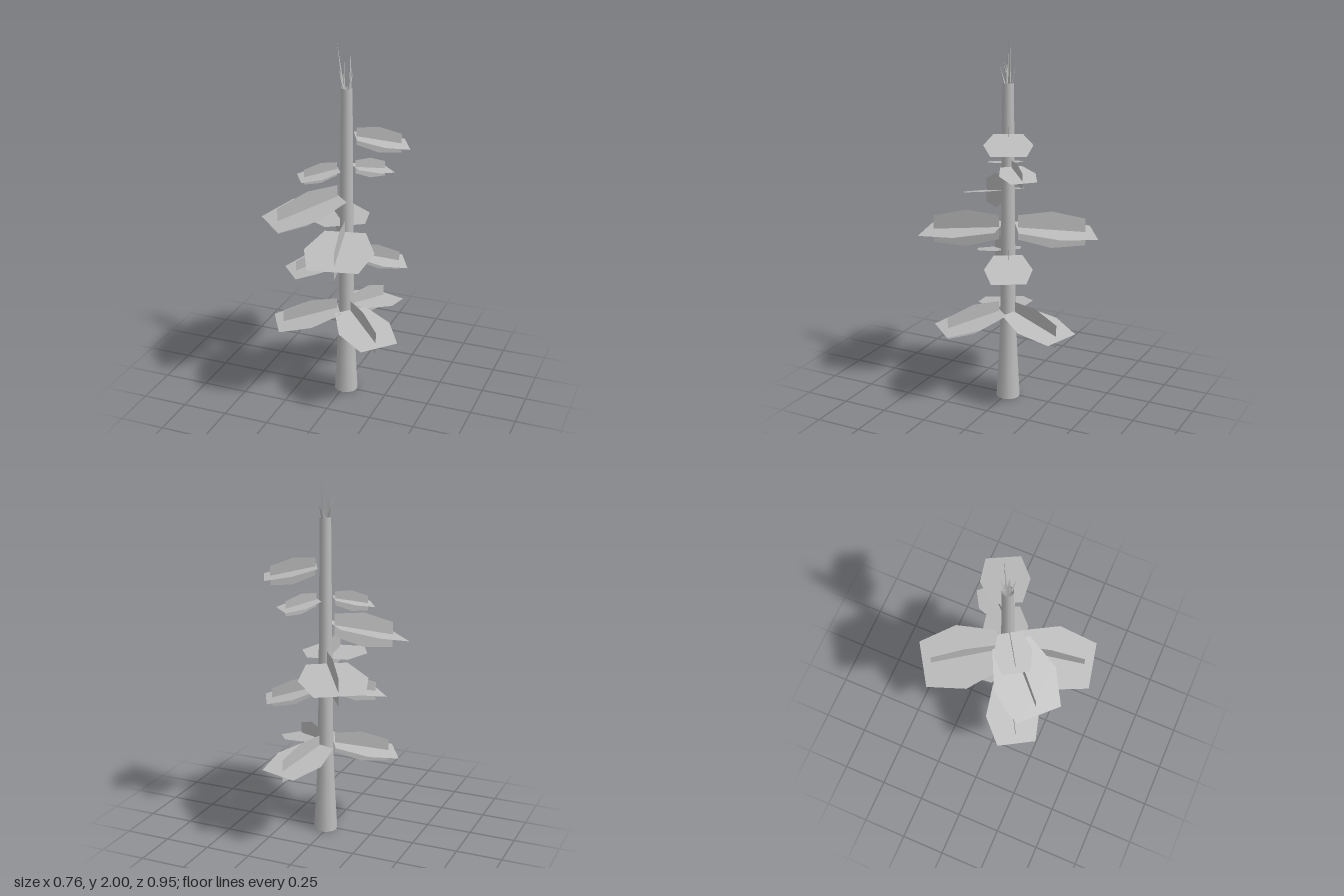
import * as THREE from 'three';

const gray = new THREE.MeshStandardMaterial({ color: 0xbcbcbc, side: THREE.DoubleSide });
gray.name = 'plain gray';

const CX = 0.015, CZ = -0.01; // trunk axis

// Flat six-cornered plate from three stations: [distance, height, half size]
function hexPlate(stations, upright) {
  const pos = [];
  for (const [d, y, s] of stations) {
    if (upright) pos.push(d, y - s, 0, d, y + s, 0);
    else pos.push(d, y, -s, d, y, s);
  }
  const g = new THREE.BufferGeometry();
  g.setAttribute('position', new THREE.Float32BufferAttribute(pos, 3));
  g.setIndex([0, 1, 3, 0, 3, 2, 2, 3, 5, 2, 5, 4]);
  g.computeVertexNormals();
  return g;
}

function addMesh(parent, geometry, name) {
  const m = new THREE.Mesh(geometry, gray);
  m.name = name;
  parent.add(m);
  return m;
}

// Frond of two crossed plates pointing along (dx, dz)
function makeFrond(dx, dz, scale, yBase, yEnd) {
  const frond = new THREE.Group();
  frond.name = 'frond';
  const r0 = 0.045, reach = 0.322 * scale;
  const station = (t, from, to, half) => {
    const d = from + (to - from) * t;
    const y = yBase + (yEnd - yBase) * (d - r0) / (reach - r0);
    return [d, y, half * scale];
  };
  const flat = [[0, 0.077], [0.5, 0.128], [1, 0.091]]
    .map(([t, h]) => station(t, r0, reach, h));
  const upright = [[0, 0.047], [0.5, 0.071], [1, 0.052]]
    .map(([t, h]) => station(t, 0.052, reach * 0.9, h));
  addMesh(frond, hexPlate(flat, false), 'flatLeafPlate');
  addMesh(frond, hexPlate(upright, true), 'uprightLeafPlate');
  frond.position.set(CX, 0, CZ);
  frond.rotation.y = -Math.atan2(dz, dx);
  return frond;
}

// Thin spike from a point near the trunk top to its tip
function addSpike(parent, from, to) {
  const a = new THREE.Vector3(...from), b = new THREE.Vector3(...to);
  const dir = b.clone().sub(a), len = dir.length();
  const g = new THREE.ConeGeometry(0.008, len, 3, 1, true);
  g.translate(0, len / 2, 0);
  const m = addMesh(parent, g.toNonIndexed(), 'spike');
  m.geometry.computeVertexNormals();
  m.quaternion.setFromUnitVectors(new THREE.Vector3(0, 1, 0), dir.normalize());
  m.position.copy(a);
}

export function createModel() {
  const model = new THREE.Group();
  model.name = 'tree';

  // Hollow trunk, flared at the foot
  const profile = [[0.065, 0], [0.055, 0.19], [0.046, 0.38], [0.042, 0.55], [0.036, 1.1], [0.03, 1.76]]
    .map(([r, y]) => new THREE.Vector2(r, y));
  const trunk = addMesh(model, new THREE.LatheGeometry(profile, 12), 'trunk');
  trunk.position.set(CX, 0, CZ);

  // Fronds: direction x, direction z, scale, height at trunk, height at end
  const fronds = [
    [0.285, -0.147, 1, 1.5, 1.445],
    [-0.215, 0.14, 0.79, 1.325, 1.285],
    [0.17, -0.175, 0.78, 1.325, 1.285],
    [-0.305, 0.304, 1.36, 1.175, 1.075],
    [-0.251, -0.39, 1.45, 0.978, 0.935],
    [0.1, 0.455, 1.45, 0.978, 0.935],
    [0.285, -0.147, 1, 0.837, 0.77],
    [-0.24, 0.215, 1, 0.837, 0.77],
    [0.257, 0.234, 1.2, 0.51, 0.44],
    [0.112, -0.374, 1.21, 0.51, 0.44],
    [-0.862, 0.507, 1.21, 0.51, 0.44],
  ];
  for (const f of fronds) model.add(makeFrond(...f));

  // Spiky crown: tip x, tip y, tip z
  const crown = new THREE.Group();
  crown.name = 'crown';
  const tips = [
    [-0.03, 2, 0.012], [0.028, 1.97, -0.028], [0.005, 1.9, 0.0],
    [-0.03, 1.84, -0.03], [0.05, 1.85, 0.02], [0.03, 1.83, -0.058],
    [-0.015, 1.87, 0.03], [0.04, 1.88, -0.01],
  ];
  for (const [x, y, z] of tips) {
    const v = new THREE.Vector2(x - CX, z - CZ).setLength(0.018);
    addSpike(crown, [CX + v.x, 1.745, CZ + v.y], [x, y, z]);
  }
  model.add(crown);
  return model;
}
